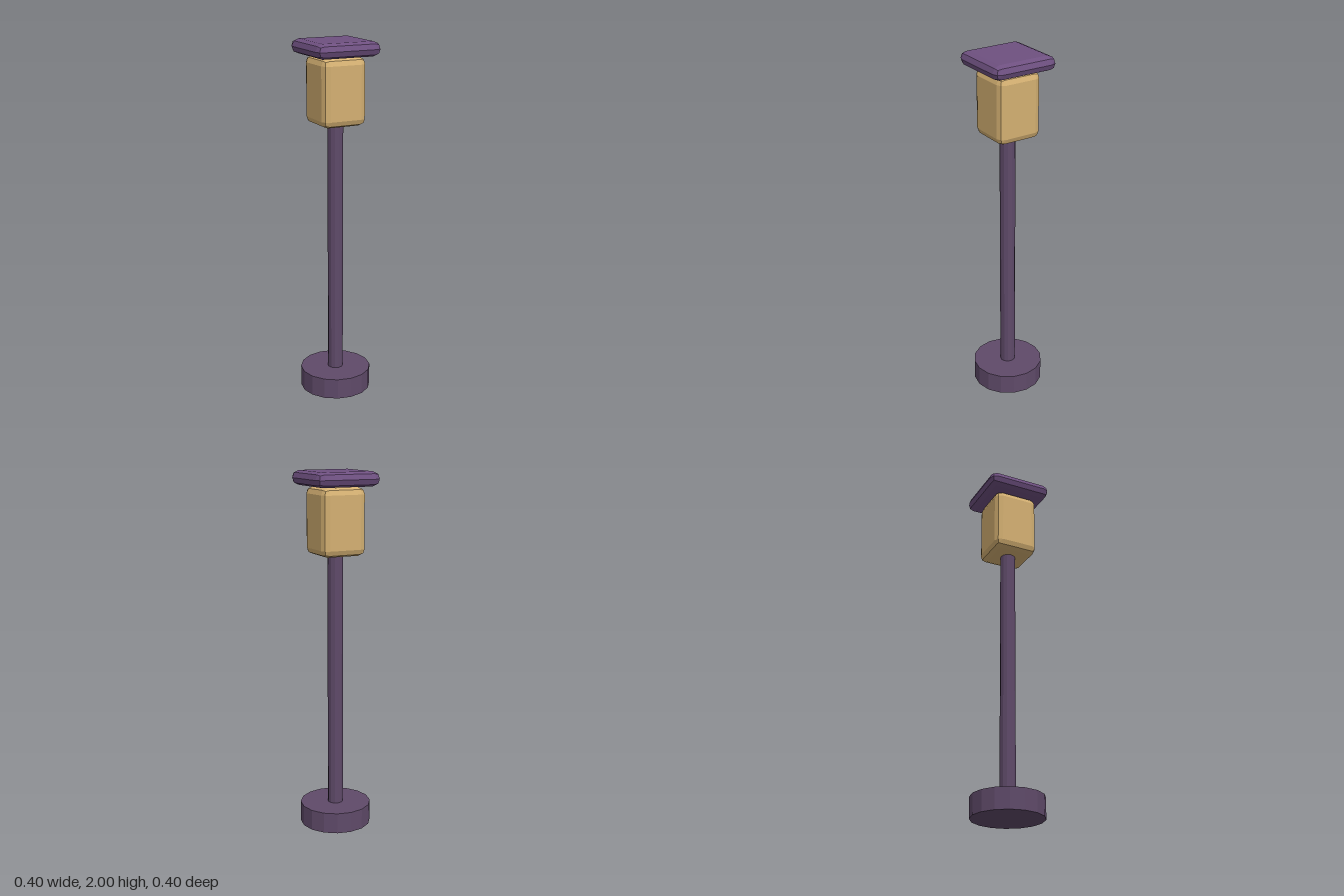
import * as THREE from 'three';
import { RoundedBoxGeometry } from 'three/addons/geometries/RoundedBoxGeometry.js';

const material = (name, color) => {
  const m = new THREE.MeshStandardMaterial({ color, flatShading: true });
  m.name = name;
  return m;
};

export function createModel() {
  const group = new THREE.Group();
  group.name = 'lampPost';
  const dusk = material('dusky purple', 0x5f4a69);
  const violet = material('violet', 0x6e5080);
  const amber = material('warm amber', 0xd4b072);

  // Places a part so that its underside sits at the given height
  const add = (name, geometry, mat, bottom, height) => {
    const mesh = new THREE.Mesh(geometry, mat);
    mesh.name = name;
    mesh.position.y = bottom + height / 2;
    group.add(mesh);
  };

  // Foot and pole
  add('base', new THREE.CylinderGeometry(0.2, 0.2, 0.117, 16), dusk, 0, 0.117);
  add('pole', new THREE.CylinderGeometry(0.043, 0.043, 1.47, 12), dusk, 0.1, 1.47);

  // Lantern and cap, with two-step bevelled edges
  add('lantern', new RoundedBoxGeometry(0.256, 0.367, 0.256, 1, 0.037), amber, 1.548, 0.367);
  add('cap', new RoundedBoxGeometry(0.374, 0.08, 0.374, 1, 0.04), violet, 1.92, 0.08);

  return group;
}
